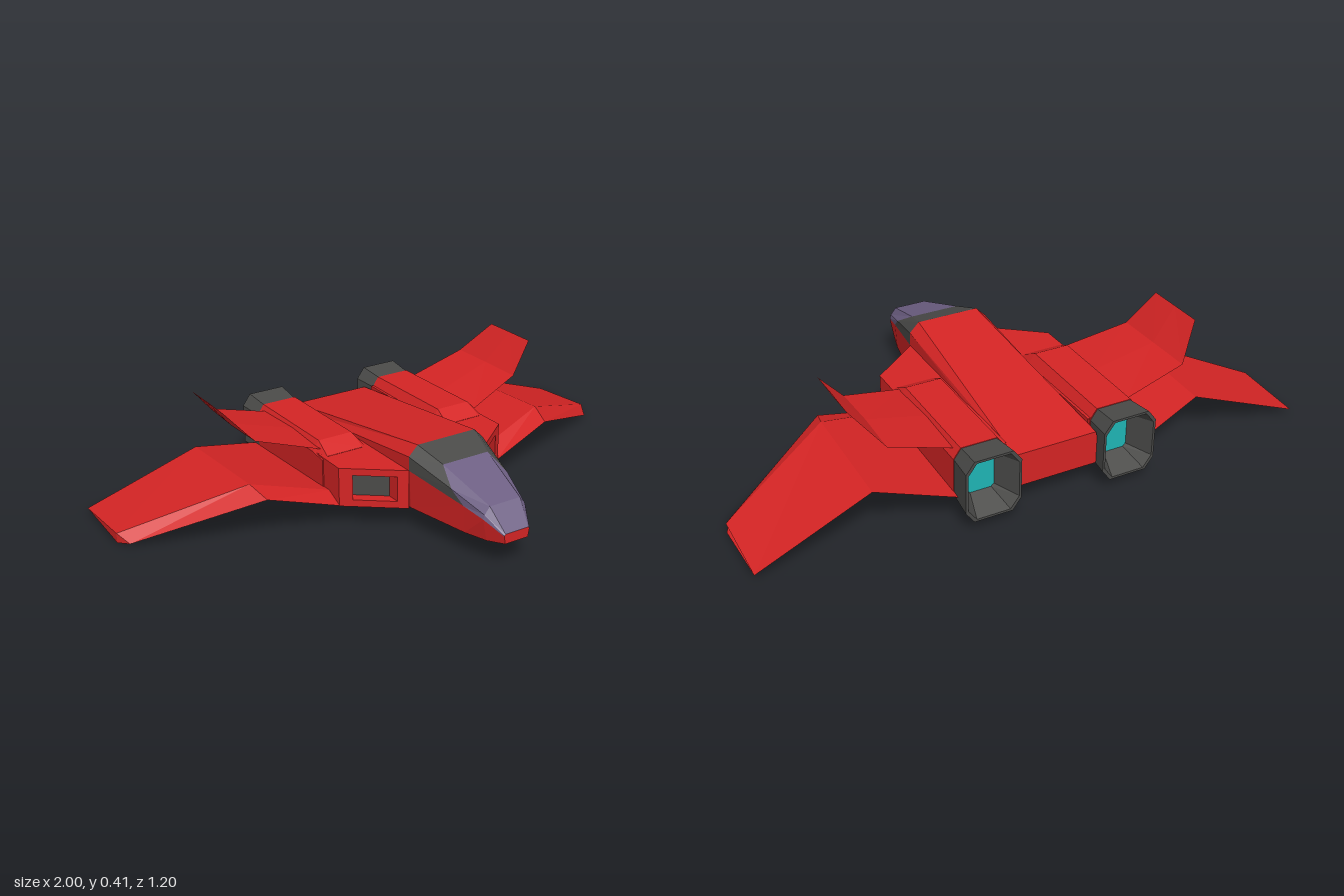
import * as THREE from 'three';

const paint = (name, color, extra = {}) =>
  Object.assign(new THREE.MeshStandardMaterial({ color, ...extra }), { name });

// Quads joining matching rings; each ring runs counter-clockwise seen from the first ring's end
function loft(rings, keep = () => true) {
  const faces = [];
  for (let r = 0; r + 1 < rings.length; r++) {
    const a = rings[r], b = rings[r + 1], n = a.length;
    for (let i = 0; i < n; i++) {
      const j = (i + 1) % n;
      if (keep(r, i)) faces.push([a[i], b[i], b[j], a[j]]);
    }
  }
  return faces;
}

const reversed = (ring) => [...ring].reverse();

// Flat-shaded mesh from convex faces; side -1 mirrors it across x
function facesMesh(name, faces, material, side = 1) {
  const pos = [];
  for (const face of faces) {
    const f = side < 0 ? reversed(face).map(([x, y, z]) => [-x, y, z]) : face;
    for (let i = 1; i + 1 < f.length; i++) pos.push(...f[0], ...f[i], ...f[i + 1]);
  }
  const geometry = new THREE.BufferGeometry();
  geometry.setAttribute('position', new THREE.Float32BufferAttribute(pos, 3));
  geometry.computeVertexNormals();
  const mesh = new THREE.Mesh(geometry, material);
  mesh.name = name;
  return mesh;
}

// Chamfered rectangle at one z, counter-clockwise from the front
function octagon(x0, x1, y0, y1, z, cx, cy) {
  return [
    [x0 + cx, y0, z], [x1 - cx, y0, z], [x1, y0 + cy, z], [x1, y1 - cy, z],
    [x1 - cx, y1, z], [x0 + cx, y1, z], [x0, y1 - cy, z], [x0, y0 + cy, z],
  ];
}

// Symmetric fuselage ring from its right half: bottom, sill, shoulder, top
const hullRing = (half) => [...half, ...reversed(half).map(([x, y, z]) => [-x, y, z])];

export function createModel() {
  const model = new THREE.Group();
  model.name = 'spaceFighter';
  const red = paint('red hull', 0xd42424);
  const grey = paint('dark grey metal', 0x4a4a48);
  const glass = paint('purple glass', 0x6e6084);
  const cyan = paint('cyan glow', 0x1fb5b5);

  // Fuselage, nose to tail
  const hull = [
    [[0.045, 0.09, 0.6], [0.05, 0.118, 0.6], [0.05, 0.121, 0.6], [0.045, 0.125, 0.6]],
    [[0.07, 0.081, 0.535], [0.085, 0.16, 0.535], [0.08, 0.175, 0.535], [0.06, 0.2, 0.535]],
    [[0.095, 0.08, 0.45], [0.101, 0.177, 0.45], [0.113, 0.22, 0.4], [0.09, 0.27, 0.32]],
    [[0.14, 0.08, 0.21], [0.15, 0.22, 0.21], [0.15, 0.27, 0.21], [0.115, 0.305, 0.21]],
    [[0.155, 0.08, -0.55], [0.155, 0.15, -0.55], [0.155, 0.18, -0.55], [0.15, 0.2, -0.55]],
  ].map(hullRing);
  const isCanopy = (r, i) => r < 3 && i >= 1 && i <= 5;
  model.add(
    facesMesh('fuselage', [
      ...loft(hull, (r, i) => !isCanopy(r, i)), hull[0], reversed(hull[4]),
    ], red),
    facesMesh('canopyGlass', loft(hull, (r, i) => isCanopy(r, i) && r < 2), glass),
    facesMesh('canopyFrame', loft(hull, (r, i) => isCanopy(r, i) && r === 2), grey),
  );

  // Slanted intake: a rectangle on the plane running from the hull outward and back
  const intakeRing = (t0, t1, y0, y1, back) => {
    const at = (t, y) => [0.15 + 0.183 * t, y, 0.21 - 0.145 * t - back];
    return [at(t0, y0), at(t1, y0), at(t1, y1), at(t0, y1)];
  };
  const intakeFloor = intakeRing(0.16, 0.8, 0.105, 0.195, 0.05);
  const intake = [
    intakeFloor,
    intakeRing(0.16, 0.8, 0.105, 0.195, 0),
    intakeRing(0, 1, 0.08, 0.22, 0),
    [[0.15, 0.08, -0.5], [0.333, 0.08, -0.5], [0.333, 0.22, -0.5], [0.15, 0.22, -0.5]],
  ];

  // Engine pod bulging above and below the duct
  const pod = [
    octagon(0.157, 0.337, 0.079, 0.221, -0.035, 0.02, 0.01),
    octagon(0.157, 0.337, 0.042, 0.255, -0.1, 0.025, 0.035),
    octagon(0.157, 0.337, 0.042, 0.25, -0.5, 0.025, 0.035),
  ];

  // Hollow flared nozzle with a glowing plate inside
  const nozzleFloor = octagon(0.2, 0.295, 0.08, 0.215, -0.51, 0.01, 0.01);
  const nozzle = [
    octagon(0.16, 0.335, 0.045, 0.248, -0.5, 0.025, 0.035),
    octagon(0.15, 0.345, 0.035, 0.258, -0.6, 0.03, 0.04),
    octagon(0.158, 0.337, 0.043, 0.25, -0.6, 0.03, 0.04),
    nozzleFloor,
  ];

  // Cranked wing, tip to root: leading edge, underside, trailing edge, top ridge
  const wing = [
    [[0.975, 0.01, -0.2], [1, 0.0, -0.25], [1, 0.018, -0.51], [1, 0.035, -0.25]],
    [[0.58, 0.155, 0.025], [0.6, 0.15, -0.06], [0.6, 0.163, -0.475], [0.6, 0.183, -0.06]],
    [[0.325, 0.08, 0.068], [0.325, 0.076, 0], [0.325, 0.09, -0.535], [0.325, 0.112, 0]],
  ];

  // Thin bent tail fin, tip to root
  const finRing = (x, y, front, back, t) => {
    const middle = (front + back) / 2;
    return [[x, y, front], [x + t, y - t, middle], [x, y, back], [x - t, y + t, middle]];
  };
  const fin = [
    finRing(0.635, 0.41, -0.155, -0.387, 0.001),
    finRing(0.54, 0.3, -0.122, -0.462, 0.003),
    finRing(0.32, 0.235, -0.07, -0.47, 0.006),
  ];

  for (const [label, side] of [['left', 1], ['right', -1]]) {
    const add = (part, faces, material) =>
      model.add(facesMesh(label + part, faces, material, side));
    add('IntakeDuct', loft(intake), red);
    add('IntakeFloor', [intakeFloor], grey);
    add('EnginePod', [pod[0], ...loft(pod), reversed(pod[2])], red);
    add('Nozzle', loft(nozzle), grey);
    add('EngineGlow', [reversed(nozzleFloor)], cyan);
    add('Wing', [wing[0], ...loft(wing)], red);
    add('TailFin', [fin[0], ...loft(fin)], red);
  }
  return model;
}
